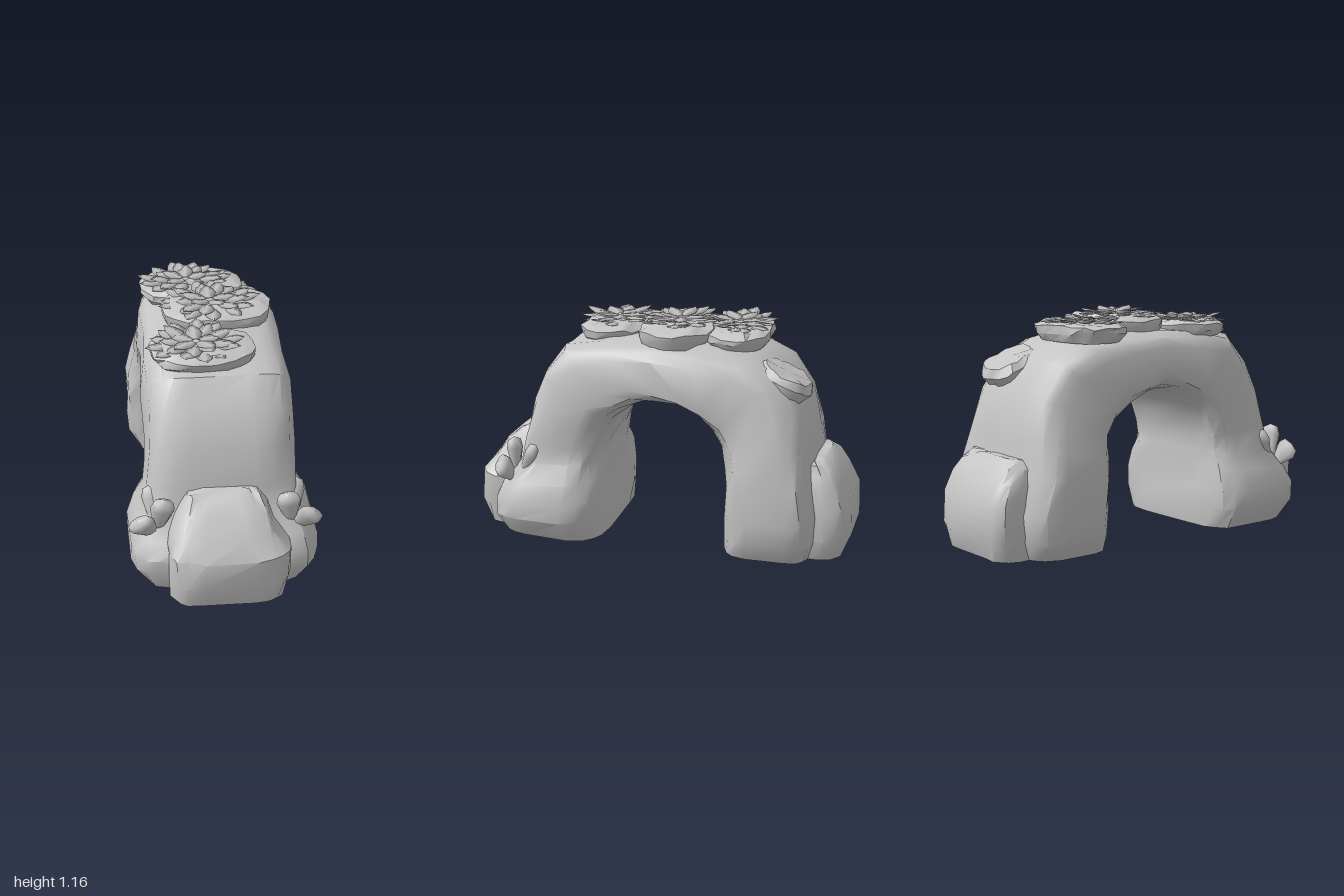
import * as THREE from 'three';
import { toCreasedNormals } from 'three/addons/utils/BufferGeometryUtils.js';

const stone = new THREE.MeshStandardMaterial({ color: 0xc4c4c4, side: THREE.DoubleSide });
stone.name = 'grey stone';

let seed = 7;
const rand = () => {
  seed = (seed * 16807) % 2147483647;
  return seed / 2147483647 - 0.5;
};

// Rounded rectangle in unit coordinates; a lower power gives squarer corners
const N = 20;
function outline(power) {
  return Array.from({ length: N }, (_, i) => {
    const t = ((i + 0.5) / N) * Math.PI * 2, c = Math.cos(t), s = Math.sin(t);
    return [Math.sign(c) * Math.abs(c) ** power, Math.sign(s) * Math.abs(s) ** power];
  });
}

// Skin a list of rings, cap both ends and keep the hard edges
function loft(rings) {
  const pos = [], idx = [];
  rings.forEach(r => r.forEach(p => pos.push(p.x, p.y, p.z)));
  for (let k = 0; k < rings.length - 1; k++) {
    for (let i = 0; i < N; i++) {
      const j = (i + 1) % N, a = k * N + i, b = k * N + j;
      idx.push(a, b, a + N, b, b + N, a + N);
    }
  }
  [0, rings.length - 1].forEach(k => {
    const mid = new THREE.Vector3();
    rings[k].forEach(p => mid.addScaledVector(p, 1 / N));
    const m = pos.length / 3;
    pos.push(mid.x, mid.y, mid.z);
    for (let i = 0; i < N; i++) {
      const a = k * N + i, b = k * N + (i + 1) % N;
      idx.push(...(k === 0 ? [m, b, a] : [m, a, b]));
    }
  });
  // Turn the faces outward if the solid came out inverted
  let volume = 0;
  const v = i => new THREE.Vector3().fromArray(pos, i * 3);
  for (let i = 0; i < idx.length; i += 3) volume += v(idx[i]).dot(v(idx[i + 1]).cross(v(idx[i + 2])));
  if (volume < 0) idx.reverse();
  const g = new THREE.BufferGeometry();
  g.setAttribute('position', new THREE.Float32BufferAttribute(pos, 3));
  g.setIndex(idx);
  return toCreasedNormals(g, 0.65);
}

// Boulder from levels [y, x0, x1, z0, z1]
function rock(levels, power = 0.5, rough = 0.018) {
  return loft(levels.map(([y, x0, x1, z0, z1], k) => outline(power).map(([u, w]) => new THREE.Vector3(
    (x0 + x1) / 2 + u * (x1 - x0) / 2 + rand() * rough,
    y + (k ? rand() * rough : 0),
    (z0 + z1) / 2 + w * (z1 - z0) / 2 + rand() * rough))));
}

// Pointed leaf or blunt petal growing along +y from the origin
function blade(length, width, thick, blunt) {
  const profile = blunt
    ? [[0.15, 0], [0.55, 0.35], [1, 0.75], [0.8, 0.93], [0, 1]]
    : [[0.5, 0], [1, 0.4], [0.75, 0.7], [0, 1]];
  const g = new THREE.LatheGeometry(profile.map(([r, y]) => new THREE.Vector2(r / 2, y)), blunt ? 8 : 4);
  return g.scale(width, length, thick);
}

export function createModel() {
  const model = new THREE.Group();
  const add = (name, geometry, parent = model) => {
    const m = new THREE.Mesh(geometry, stone);
    m.name = name;
    parent.add(m);
    return m;
  };

  // Arch: [inner z, inner y, outer z, outer y, half width] from front foot to back foot
  const stations = [
    [0.28, 0.01, 0.83, 0.01, 0.41], [0.28, 0.12, 0.87, 0.12, 0.475], [0.285, 0.22, 0.87, 0.21, 0.47],
    [0.29, 0.34, 0.83, 0.29, 0.435], [0.30, 0.41, 0.745, 0.4, 0.38], [0.295, 0.5, 0.72, 0.53, 0.375],
    [0.265, 0.59, 0.67, 0.72, 0.38], [0.22, 0.66, 0.6, 0.89, 0.385], [0.15, 0.715, 0.49, 1.02, 0.385],
    [0.07, 0.76, 0.27, 1.06, 0.38], [-0.02, 0.775, 0, 1.07, 0.375], [-0.13, 0.75, -0.24, 1.06, 0.38],
    [-0.22, 0.7, -0.46, 1.03, 0.385], [-0.3, 0.64, -0.62, 0.95, 0.385], [-0.345, 0.56, -0.74, 0.79, 0.385],
    [-0.37, 0.46, -0.78, 0.58, 0.41], [-0.38, 0.36, -0.81, 0.42, 0.43], [-0.37, 0.22, -0.85, 0.24, 0.43],
    [-0.37, 0.1, -0.85, 0.1, 0.42], [-0.36, 0.01, -0.82, 0.01, 0.37],
  ];
  add('arch', loft(stations.map(([iz, iy, oz, oy, w], k) => {
    const end = k === 0 || k === stations.length - 1;
    // The outer shoulders are bevelled more than the feet
    const bevel = 0.02 + 0.15 * THREE.MathUtils.smoothstep(oy, 0.4, 0.9);
    return outline(0.45).map(([u, v]) => {
      const t = (v + 1) / 2;
      return new THREE.Vector3(u * w * (1 - bevel * t * t) + rand() * 0.018,
        iy + (oy - iy) * t + (end ? 0 : rand() * 0.018),
        iz + (oz - iz) * t + rand() * 0.018);
    });
  })));

  // Large boulders against both feet
  add('frontBoulder', rock([
    [0.01, -0.28, 0.28, 0.6, 0.965], [0.14, -0.29, 0.3, 0.6, 0.995], [0.29, -0.29, 0.3, 0.6, 0.99],
    [0.37, -0.26, 0.235, 0.6, 0.93], [0.46, -0.22, 0.21, 0.62, 0.86], [0.525, -0.18, 0.16, 0.65, 0.79],
    [0.54, -0.11, 0.12, 0.68, 0.75],
  ], 0.45));
  add('backBoulder', rock([
    [0.01, -0.27, 0.27, -0.96, -0.6], [0.12, -0.3, 0.3, -0.995, -0.6], [0.28, -0.29, 0.29, -0.99, -0.6],
    [0.38, -0.27, 0.27, -0.94, -0.6], [0.45, -0.25, 0.25, -0.89, -0.62], [0.485, -0.22, 0.22, -0.84, -0.66],
  ], 0.45));

  // Round knob leaning out of the back shoulder
  const knob = add('shoulderKnob', rock([
    [-0.22, -0.1, 0.1, -0.06, 0.14], [-0.1, -0.13, 0.13, -0.12, 0.15],
    [-0.02, -0.15, 0.15, -0.15, 0.15], [0.015, -0.12, 0.12, -0.12, 0.12],
  ], 0.85, 0.015));
  knob.position.set(0.13, 0.925, -0.645);
  knob.rotation.x = -0.45;

  // Ledges on the crown, each shingled with pointed blades
  const ledges = [
    { x: -0.07, z: 0.3, rx: 0.25, rz: 0.18, y: 1.08 },
    { x: 0.03, z: -0.06, rx: 0.28, rz: 0.19, y: 1.115 },
    { x: -0.07, z: -0.35, rx: 0.27, rz: 0.17, y: 1.095 },
  ];
  ledges.forEach(({ x, z, rx, rz, y }) => {
    const clump = new THREE.Group();
    clump.name = 'crownClump';
    model.add(clump);
    const level = (h, s) => [h, x - rx * s, x + rx * s, z - rz * s, z + rz * s];
    add('ledge', rock([level(1.02, 0.88), level(y - 0.03, 0.99), level(y, 1), level(y + 0.02, 0.8)], 0.8, 0.02), clump);
    for (let row = 0; row < 3; row++) {
      const count = 13 - row * 4;
      for (let i = 0; i < count; i++) {
        const a = (i + row * 0.4) / count * Math.PI * 2 + rand() * 0.3;
        const r = 0.48 - row * 0.2;
        const leaf = add('blade', blade(0.12 + rand() * 0.04, 0.085, 0.014), clump);
        leaf.position.set(x - 0.03 + Math.cos(a) * rx * r, y + 0.018 + row * 0.006, z + Math.sin(a) * rz * r);
        leaf.rotation.order = 'YXZ';
        leaf.rotation.set(Math.PI / 2 - 0.12 + rand() * 0.25, Math.PI / 2 - a, 0);
      }
    }
  });

  // Sprouts of thick petals on both sides of the front foot
  const up = new THREE.Vector3(0, 1, 0);
  const petals = [
    [-0.04, 0.23, 0.03, 0.12], [0.095, 0.135, 0.06, 0.14], [0.02, 0.22, -0.12, 0.1],
  ];
  [1, -1].forEach(side => {
    const sprout = new THREE.Group();
    sprout.name = side > 0 ? 'leftSprout' : 'rightSprout';
    sprout.position.set(side * 0.335, 0.285, 0.735);
    model.add(sprout);
    petals.forEach(([x, y, z, width]) => {
      const tip = new THREE.Vector3(side * x, y, z);
      const petal = add('petal', blade(tip.length(), width, 0.075, true), sprout);
      petal.quaternion.setFromUnitVectors(up, tip.normalize());
    });
  });
  return model;
}
